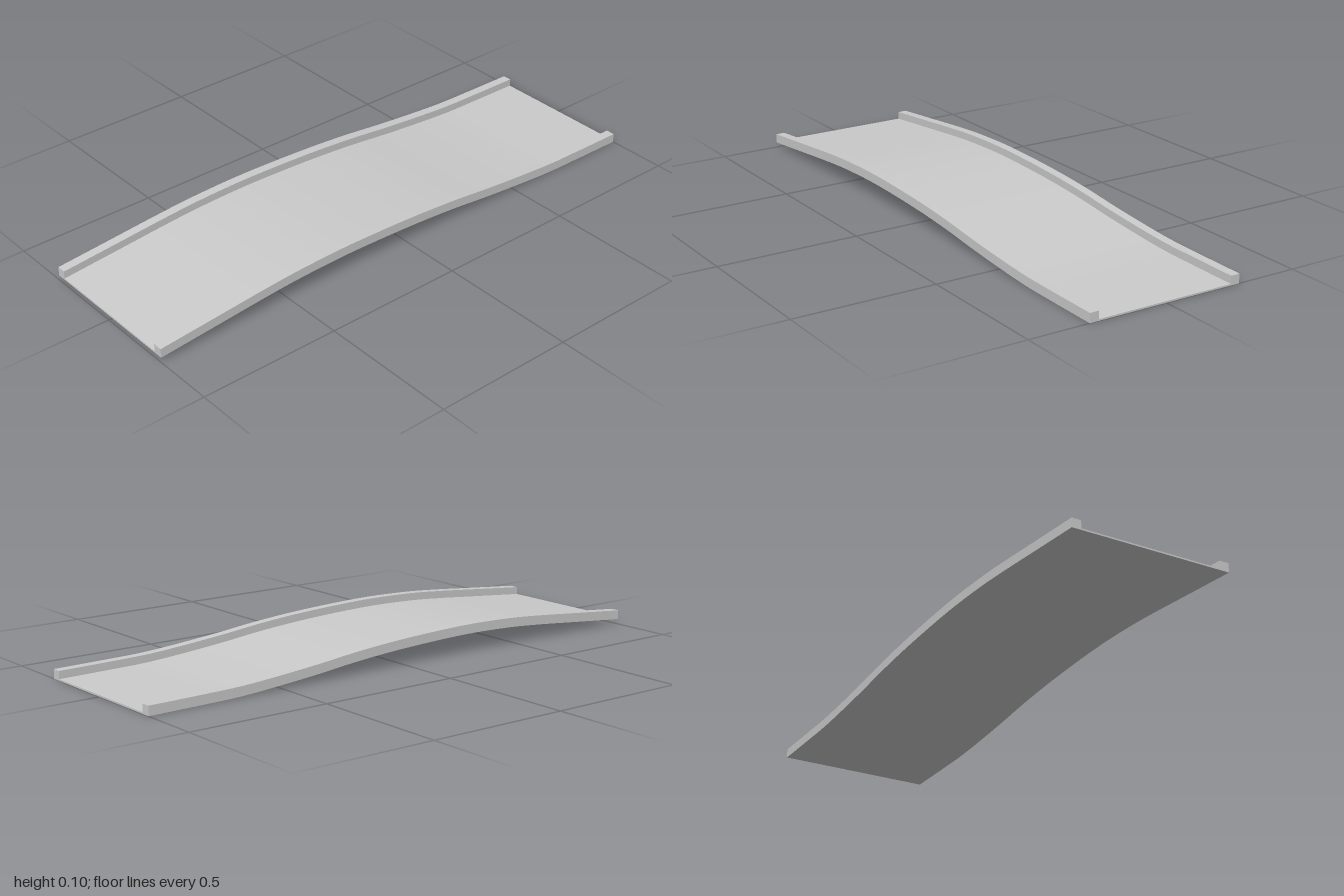
import * as THREE from 'three';
import { toCreasedNormals } from 'three/addons/utils/BufferGeometryUtils.js';

// Underside height along the length, as (z, y)
const underside = new THREE.SplineCurve([
  [-1, 0], [-0.8, 0.002], [-0.64, 0.006], [-0.4, 0.025], [-0.2, 0.046], [0, 0.06],
  [0.25, 0.068], [0.45, 0.064], [0.6, 0.054], [0.8, 0.036], [1, 0.018],
].map(([z, y]) => new THREE.Vector2(z, y)));
const samples = underside.getPoints(200);

function heightAt(z) {
  let i = 1;
  while (i < samples.length - 1 && samples[i].x < z) i++;
  const a = samples[i - 1], b = samples[i];
  return a.y + (b.y - a.y) * (z - a.x) / (b.x - a.x);
}

// Straight bar from x0..x1, y0..y1, lifted to follow the wave
function wavyBar(name, x0, x1, y0, y1, material) {
  const geo = new THREE.BoxGeometry(x1 - x0, y1 - y0, 2, 1, 1, 48);
  geo.translate((x0 + x1) / 2, (y0 + y1) / 2, 0);
  const p = geo.attributes.position;
  for (let i = 0; i < p.count; i++) p.setY(i, p.getY(i) + heightAt(p.getZ(i)));
  const mesh = new THREE.Mesh(toCreasedNormals(geo, 0.5), material);
  mesh.name = name;
  return mesh;
}

export function createModel() {
  const group = new THREE.Group();
  group.name = 'wavyTrack';
  const grey = new THREE.MeshStandardMaterial({ color: 0xcccccc });
  const half = 0.283, inner = 0.25, deckTop = 0.0055, railTop = 0.0325;

  // Thin deck between the side rails
  group.add(wavyBar('deck', -inner, inner, 0, deckTop, grey));
  // Raised rails along both edges
  group.add(wavyBar('leftRail', inner, half, 0, railTop, grey));
  group.add(wavyBar('rightRail', -half, -inner, 0, railTop, grey));
  return group;
}
